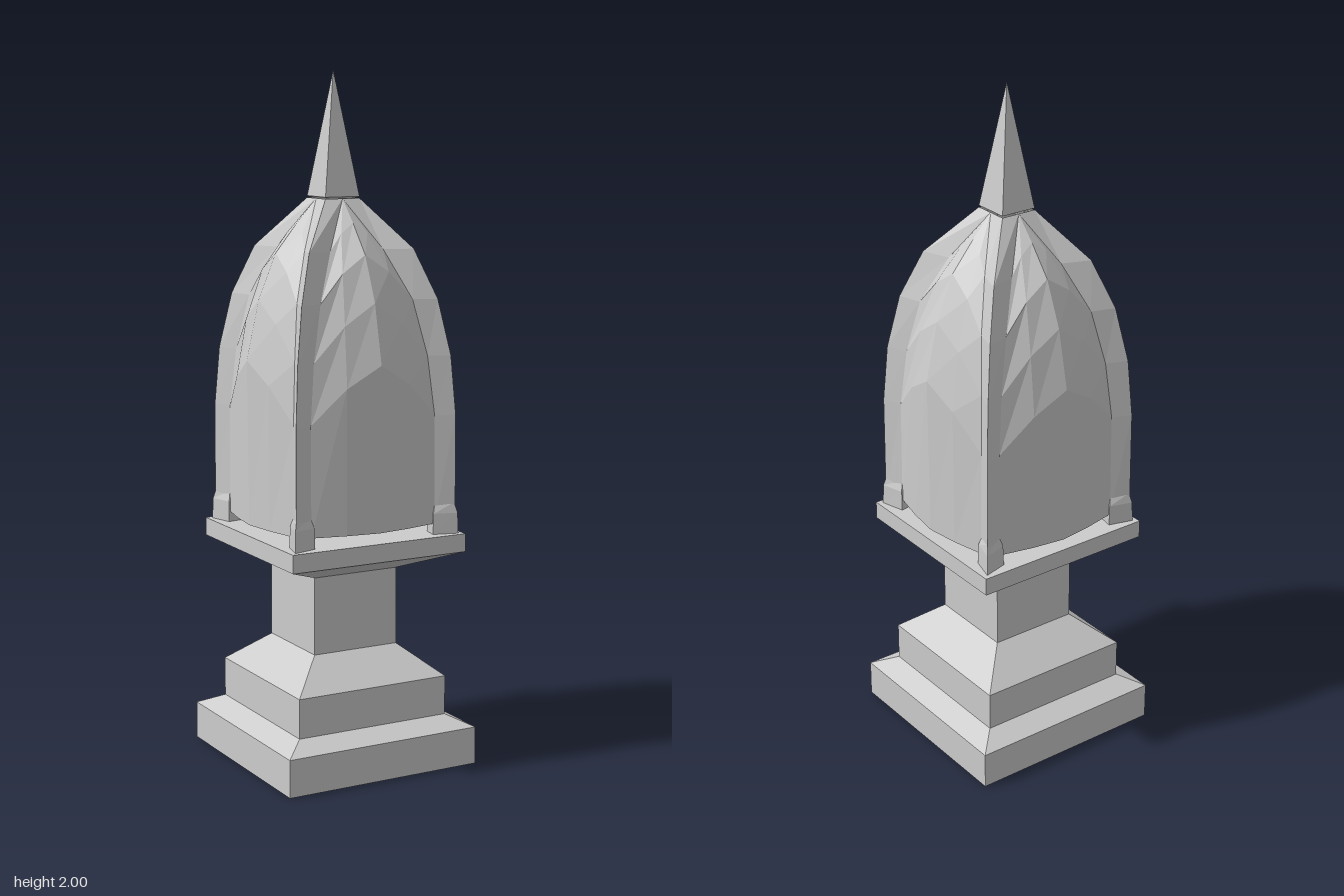
import * as THREE from 'three';

const stone = new THREE.MeshStandardMaterial({ color: 0xcccccc, side: THREE.DoubleSide });
stone.name = 'pale stone';

// Flat-shaded skin over rows of [x, y, z] points; rows rise, points run left to right seen from outside.
function loft(rows, closed = false) {
  const out = [];
  for (let i = 0; i < rows.length - 1; i++) {
    const n = rows[i].length;
    for (let j = 0; j < (closed ? n : n - 1); j++) {
      const k = (j + 1) % n;
      const a = rows[i][j], b = rows[i][k], c = rows[i + 1][k], d = rows[i + 1][j];
      out.push(...a, ...b, ...c, ...a, ...c, ...d);
    }
  }
  const g = new THREE.BufferGeometry();
  g.setAttribute('position', new THREE.Float32BufferAttribute(out, 3));
  g.computeVertexNormals();
  return g;
}

const square = ([h, y]) => [[h, y, h], [h, y, -h], [-h, y, -h], [-h, y, h]];

function add(parent, name, geometry) {
  const mesh = new THREE.Mesh(geometry, stone);
  mesh.name = name;
  parent.add(mesh);
  return mesh;
}

// Dome levels: rib edge [y, x, z], panel centre line [y, z], rib ridge (x = z)
const levels = [
  { edge: [0.715, 0.2, 0.238], mid: [0.715, 0.274], ridge: 0.258 },
  { edge: [1.03, 0.2, 0.235], mid: [1.19, 0.278], ridge: 0.257 },
  { edge: [1.2, 0.183, 0.222], mid: [1.36, 0.24], ridge: 0.246 },
  { edge: [1.36, 0.148, 0.196], mid: [1.49, 0.185], ridge: 0.218 },
  { edge: [1.5, 0.085, 0.138], mid: [1.575, 0.115], ridge: 0.168 },
  { edge: [1.64, 0.0, 0.055], mid: [1.64, 0.055], ridge: 0.055 },
];

export function createModel() {
  const model = new THREE.Group();
  model.name = 'finial';

  // Hollow stepped base, shaft and flared cap plate
  add(model, 'pedestal', loft([
    [0.305, 0], [0.305, 0.11], [0.24, 0.142], [0.24, 0.257], [0.135, 0.345], [0.135, 0.572],
  ].map(square), true));
  add(model, 'capPlate', loft([
    [0.135, 0.572], [0.28, 0.632], [0.28, 0.685], [0, 0.685],
  ].map(square), true));

  // Bulging panel between two ribs
  const panel = loft(levels.map(({ edge: [ye, x, z], mid: [ym, m] }) =>
    [-1, -0.5, 0, 0.5, 1].map((t) => {
      const w = t === 0 ? 1 : Math.abs(t) === 1 ? 0 : 0.62;
      return [x * t, ye + (ym - ye) * w, z + (m - z) * w];
    })));

  // Ridged corner rib, carried down to the plate
  const ribRow = (y, x, z, r) => [[x, y, z], [r, y, r], [z, y, x]];
  const rib = loft([
    ribRow(0.685, 0.2, 0.238, 0.258),
    ...levels.map(({ edge: [y, x, z], ridge }) => ribRow(y, x, z, ridge)),
  ]);

  // Small foot wrapped round the lower end of each rib
  const footRow = (y, x, z, r) => [[x, y, z], [r, y, r], [z, y, x], [0.2, y, 0.2]];
  const foot = loft([
    footRow(0.685, 0.192, 0.245, 0.265),
    footRow(0.745, 0.194, 0.244, 0.263),
    footRow(0.775, 0.203, 0.236, 0.256),
  ], true);

  for (let i = 0; i < 4; i++) {
    const side = new THREE.Group();
    side.name = 'domeSide' + (i + 1);
    side.rotation.y = i * Math.PI / 2;
    add(side, 'panel', panel);
    add(side, 'rib', rib);
    add(side, 'ribFoot', foot);
    model.add(side);
  }

  // Four-sided spire
  add(model, 'spire', loft([[0, 1.625], [0.055, 1.645], [0, 2]].map(square), true));

  return model;
}
